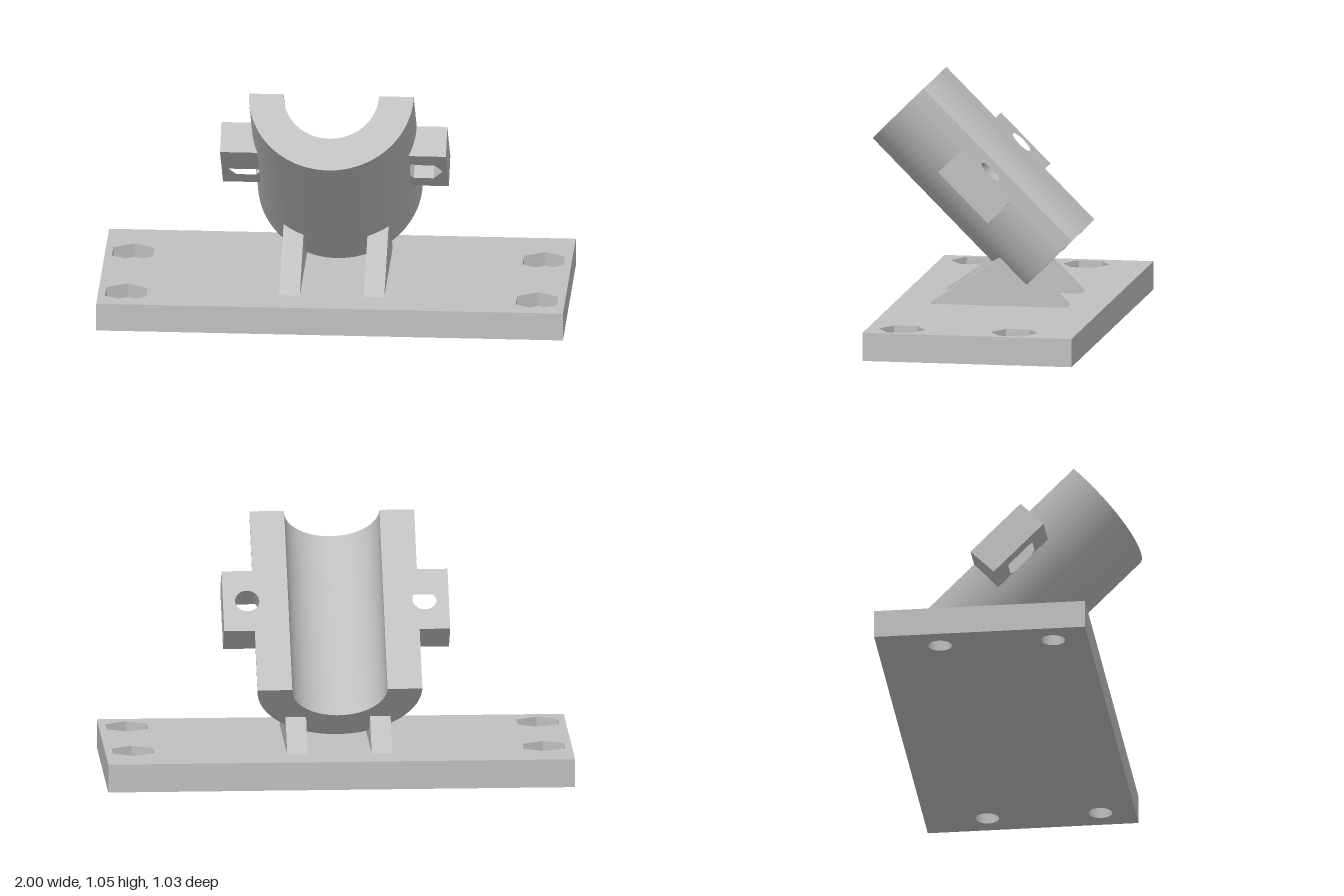
import * as THREE from 'three';
import { toCreasedNormals } from 'three/addons/utils/BufferGeometryUtils.js';

const OUTER = 0.353, INNER = 0.204, HALF_LEN = 0.455;
const TAB_DEPTH = 0.141, TAB_HALF = 0.152, TAB_ROOT = 0.28;

const polygon = (pts) => new THREE.Shape(pts.map(([x, y]) => new THREE.Vector2(x, y)));

function circle(x, y, r) {
  return new THREE.Path().absarc(x, y, r, 0, Math.PI * 2, true);
}

function extrude(shape, depth) {
  const geo = new THREE.ExtrudeGeometry(shape, { depth, bevelEnabled: false, curveSegments: 32 });
  return toCreasedNormals(geo, 0.5);
}

// Horizontal plate: the outline lies in x and -z, filled from y0 up to y1
function plate(shape, y0, y1) {
  return extrude(shape, y1 - y0).rotateX(-Math.PI / 2).translate(0, y0, 0);
}

// Half ring open towards +y
function halfRing() {
  const s = new THREE.Shape();
  s.moveTo(-OUTER, 0);
  s.absarc(0, 0, OUTER, Math.PI, Math.PI * 2, false);
  s.lineTo(INNER, 0);
  s.absarc(0, 0, INNER, Math.PI * 2, Math.PI, true);
  return s;
}

// Half ring with its shoulders cut away to seat the side tabs
function notchedRing() {
  const a = Math.asin(TAB_DEPTH / OUTER);
  const s = new THREE.Shape();
  s.moveTo(-TAB_ROOT, 0);
  s.lineTo(-TAB_ROOT, -TAB_DEPTH);
  s.lineTo(-OUTER * Math.cos(a), -TAB_DEPTH);
  s.absarc(0, 0, OUTER, Math.PI + a, Math.PI * 2 - a, false);
  s.lineTo(TAB_ROOT, -TAB_DEPTH);
  s.lineTo(TAB_ROOT, 0);
  s.lineTo(INNER, 0);
  s.absarc(0, 0, INNER, Math.PI * 2, Math.PI, true);
  return s;
}

export function createModel() {
  const model = new THREE.Group();
  const grey = new THREE.MeshStandardMaterial({ color: 0xc0c0c0 });
  grey.name = 'grey plastic';

  const add = (parent, name, geo) => {
    const mesh = new THREE.Mesh(geo, grey);
    mesh.name = name;
    parent.add(mesh);
    return mesh;
  };

  // Base: round holes below, hexagonal nut pockets above
  const baseOutline = () => polygon([[-1, -0.393], [1, -0.393], [1, 0.515], [-1, 0.515]]);
  const lower = baseOutline(), upper = baseOutline();
  for (const x of [-0.88, 0.88]) {
    for (const y of [-0.242, 0.245]) {
      lower.holes.push(circle(x, y, 0.051));
      const hex = [];
      for (let i = 0; i < 6; i++) {
        const a = Math.PI / 2 - (i * Math.PI) / 3;
        hex.push(new THREE.Vector2(x + 0.102 * Math.cos(a), y + 0.102 * Math.sin(a)));
      }
      upper.holes.push(new THREE.Path(hex));
    }
  }
  const base = new THREE.Group();
  base.name = 'base';
  model.add(base);
  add(base, 'baseLower', plate(lower, 0, 0.06));
  add(base, 'baseUpper', plate(upper, 0.06, 0.122));

  // Two triangular ribs carrying the cradle, with tips buried in its wall
  for (const side of [-1, 1]) {
    const profile = polygon([[-0.245, 0.12], [0.36, 0.12], [0.115, 0.365]]);
    const rib = extrude(profile, 0.088).rotateY(Math.PI / 2);
    rib.translate(side * 0.181 - 0.044, 0, 0);
    add(model, side > 0 ? 'leftRib' : 'rightRib', rib);
  }

  // Tilted half-pipe cradle, open to the upper back
  const cradle = new THREE.Group();
  cradle.name = 'cradle';
  cradle.position.set(0, 0.73, -0.052);
  cradle.rotation.x = -Math.PI / 4;
  model.add(cradle);
  const endLen = HALF_LEN - TAB_HALF;
  add(cradle, 'cradleLowerEnd', extrude(halfRing(), endLen).translate(0, 0, -HALF_LEN));
  add(cradle, 'cradleMiddle', extrude(notchedRing(), TAB_HALF * 2).translate(0, 0, -TAB_HALF));
  add(cradle, 'cradleUpperEnd', extrude(halfRing(), endLen).translate(0, 0, TAB_HALF));

  // Side tabs: bolt hole through, nut pocket on the underside
  for (const side of [-1, 1]) {
    const name = side > 0 ? 'left' : 'right';
    const outline = () => polygon([[TAB_ROOT, -TAB_HALF], [0.484, -TAB_HALF],
      [0.484, TAB_HALF], [TAB_ROOT, TAB_HALF]].map(([x, y]) => [side * x, y]));
    const top = outline(), bottom = outline();
    top.holes.push(circle(side * 0.38, 0, 0.052));
    bottom.holes.push(new THREE.Path([[0.465, 0], [0.4225, 0.0736], [0.3375, 0.0736],
      [0.32, 0.0433], [0.32, -0.0433], [0.3375, -0.0736], [0.4225, -0.0736]]
      .map(([x, y]) => new THREE.Vector2(side * x, y))));
    add(cradle, name + 'TabTop', plate(top, -TAB_DEPTH + 0.06, 0));
    add(cradle, name + 'TabBottom', plate(bottom, -TAB_DEPTH, -TAB_DEPTH + 0.06));
  }

  return model;
}
